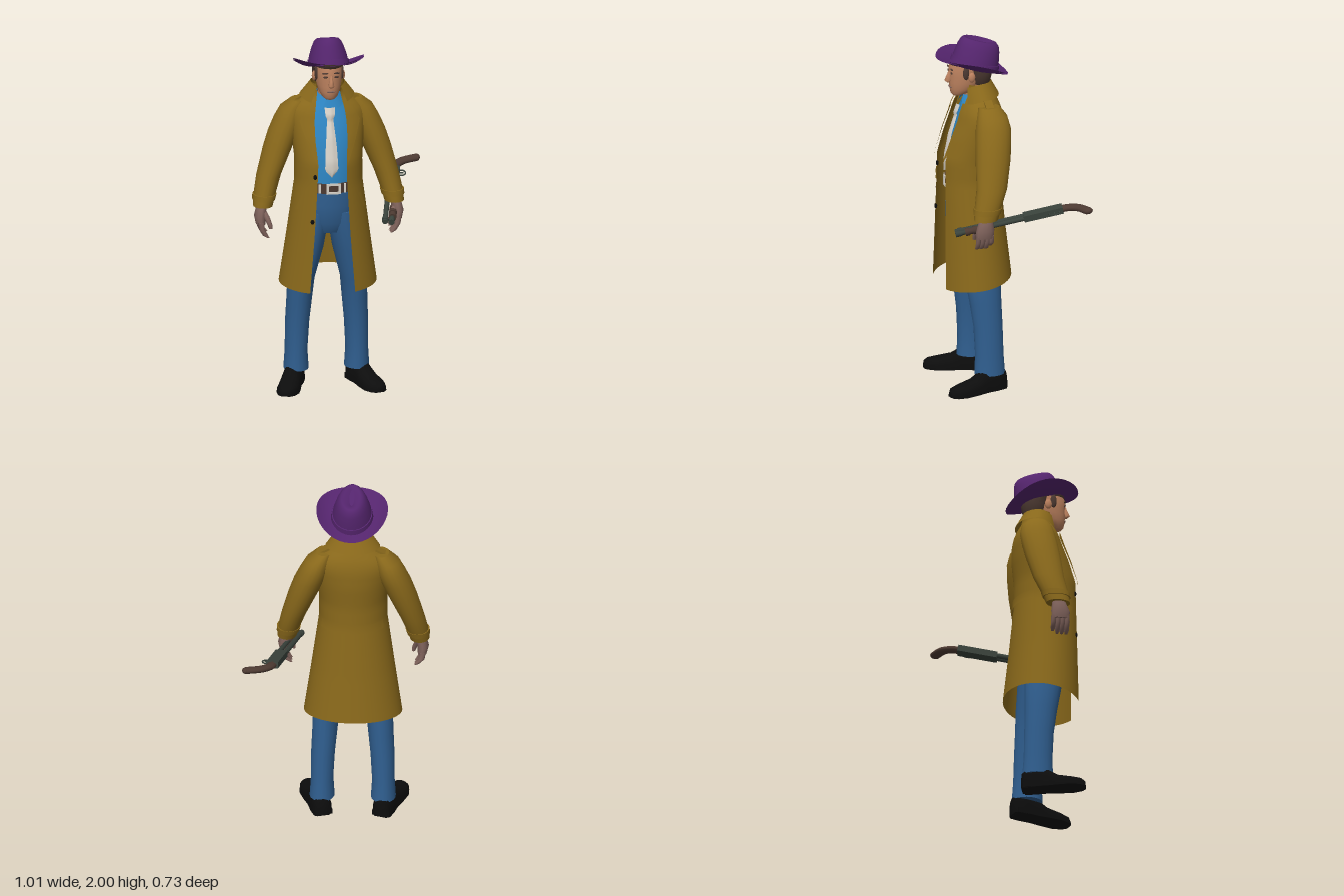
import * as THREE from 'three';

const paint = (name, color) => {
  const m = new THREE.MeshStandardMaterial({ color, side: THREE.DoubleSide });
  m.name = name;
  return m;
};

// Smooth surface from fn(u, v) -> [x, y, z]; u may wrap around.
function surf(nu, nv, fn, wrap = false) {
  const pos = [], idx = [], cols = wrap ? nu : nu + 1;
  for (let j = 0; j <= nv; j++)
    for (let i = 0; i < cols; i++) pos.push(...fn(i / nu, j / nv));
  for (let j = 0; j < nv; j++)
    for (let i = 0; i < nu; i++) {
      const a = j * cols + i, b = j * cols + (i + 1) % cols;
      idx.push(a, b, b + cols, a, b + cols, a + cols);
    }
  const g = new THREE.BufferGeometry();
  g.setAttribute('position', new THREE.Float32BufferAttribute(pos, 3));
  g.setIndex(idx);
  g.computeVertexNormals();
  return g;
}

// Closed body through horizontal ellipses [x, y, z, rx, rz], listed from the bottom up.
function loft(rings, n = 16, s = 1) {
  const a = rings[0], b = rings[rings.length - 1];
  const tip = r => [r[0], r[1], r[2], 0, 0];
  const all = [tip(a), a, ...rings, b, tip(b)], m = all.length - 1;
  return surf(n, m, (u, v) => {
    const [x, y, z, rx, rz] = all[Math.round(v * m)], t = u * Math.PI * 2;
    return [s * x + rx * Math.sin(t), y, z + rz * Math.cos(t)];
  }, true);
}

// Linear interpolation in a table whose first column is y.
function at(table, y) {
  let i = 0;
  while (i < table.length - 2 && y > table[i + 1][0]) i++;
  const p = table[i], q = table[i + 1];
  const t = THREE.MathUtils.clamp((y - p[0]) / (q[0] - p[0]), 0, 1);
  return p.map((c, k) => c + (q[k] - c) * t);
}

// Coat sections: y, half width, back z, front z, half opening
const COAT = [
  [0.60, 0.27, -0.06, 0.36, 0.125], [0.9, 0.228, -0.03, 0.352, 0.1], [1.2, 0.187, 0, 0.345, 0.082],
  [1.32, 0.187, 0, 0.342, 0.08], [1.45, 0.2, -0.012, 0.3, 0.09], [1.54, 0.21, -0.012, 0.262, 0.09],
  [1.59, 0.205, -0.005, 0.245, 0.085], [1.635, 0.16, 0.012, 0.228, 0.075],
  [1.68, 0.1, 0.038, 0.21, 0.065], [1.74, 0.09, 0.05, 0.215, 0.068]];
const coatEdge = y => { const c = at(COAT, y); return Math.asin(c[4] / c[1]); };
function coatPoint(y, a, push = 0) {
  const [, w, back, front] = at(COAT, y);
  return [(w + push) * Math.sin(a), y, (back + front) / 2 + ((front - back) / 2 + push) * Math.cos(a)];
}

export function createModel() {
  const model = new THREE.Group(), figure = new THREE.Group();
  figure.name = 'figure';
  figure.position.x = -0.08;
  model.add(figure);
  const M = {
    coat: paint('ochre coat', 0x8a691b), hat: paint('purple felt', 0x55256e), shirt: paint('blue shirt', 0x2e86c4),
    denim: paint('denim', 0x305f90), cream: paint('cream', 0xd8d2c8), black: paint('black leather', 0x0d0d0d),
    skin: paint('face skin', 0xbd825f), hand: paint('hand skin', 0x80635c),
    brown: paint('dark brown', 0x4d3a32), metal: paint('gunmetal', 0x3a433c) };
  const add = (name, geo, mat, parent = figure, x = 0, y = 0, z = 0) => {
    const m = new THREE.Mesh(geo, mat);
    m.name = name;
    m.position.set(x, y, z);
    parent.add(m);
    return m;
  };
  const ball = (rx, ry, rz) => new THREE.SphereGeometry(1, 12, 8).scale(rx, ry, rz);

  // Shirt, trousers and belt
  const shirt = [[0, 1.15, 0.165, 0.155, 0.125], [0, 1.32, 0.16, 0.16, 0.13], [0, 1.45, 0.14, 0.165, 0.125],
    [0, 1.55, 0.125, 0.155, 0.107], [0, 1.61, 0.125, 0.11, 0.085], [0, 1.66, 0.13, 0.06, 0.065]];
  add('shirt', loft(shirt, 24), M.shirt);
  add('trouserHips', loft([[0, 0.9, 0.16, 0.11, 0.09], [0, 0.96, 0.165, 0.15, 0.115], [0, 1.06, 0.165, 0.158, 0.128],
    [0, 1.17, 0.165, 0.155, 0.127]], 24), M.denim);
  add('belt', loft([[0, 1.14, 0.165, 0.16, 0.134], [0, 1.195, 0.165, 0.16, 0.134]], 24), M.brown);
  const buckle = new THREE.Shape([[-0.04, -0.03], [0.04, -0.03], [0.04, 0.03], [-0.04, 0.03]].map(p => new THREE.Vector2(...p)));
  buckle.holes.push(new THREE.Path([[-0.027, -0.018], [-0.027, 0.018], [0.027, 0.018], [0.027, -0.018]].map(p => new THREE.Vector2(...p))));
  add('buckle', new THREE.ExtrudeGeometry(buckle, { depth: 0.008, bevelEnabled: false }), M.cream, figure, 0.01, 1.168, 0.298);
  for (const x of [-0.065, 0.075])
    add('beltStud', new THREE.BoxGeometry(0.012, 0.05, 0.008), M.cream, figure, x, 1.168, 0.289);

  // Tie hanging along the shirt front
  const shirtFront = y => { const r = at(shirt.map(q => [q[1], q[2] + q[4]]), y); return r[1]; };
  const tie = [[1.235, 0.002], [1.275, 0.037], [1.4, 0.031], [1.555, 0.017], [1.57, 0.026], [1.615, 0.029]];
  add('tie', surf(4, 24, (u, v) => {
    const y = 1.235 + 0.38 * v, k = u * 2 - 1;
    return [k * at(tie, y)[1], y, shirtFront(y) + 0.022 - 0.012 * Math.abs(k) + (y > 1.56 ? 0.01 : 0)];
  }), M.cream);

  // Collars: open shells from an upper ring to a lower one [y, z, rx, rz, opening, front dip]
  const collar = (name, mat, top, low) => add(name, surf(28, 4, (u, v) => {
    const r = low.map((c, k) => c + (top[k] - c) * v), a = r[4] + u * 2 * (Math.PI - r[4]);
    return [r[2] * Math.sin(a), r[0] - r[5] * Math.max(0, Math.cos(a)), r[1] + r[3] * Math.cos(a)];
  }), mat);
  collar('shirtCollar', M.shirt, [1.69, 0.14, 0.058, 0.067, 0.25, 0.02], [1.65, 0.135, 0.092, 0.102, 0.5, 0.05]);
  collar('coatCollar', M.coat, [1.745, 0.135, 0.093, 0.088, 0.8, 0.03], [1.668, 0.12, 0.15, 0.115, 0.72, 0.04]);

  // Coat shell, open at the front, hem lower in front
  add('coatBody', surf(40, 40, (u, v) => {
    const y = 0.6 + 1.14 * v, e = coatEdge(y), a = e + u * 2 * (Math.PI - e), p = coatPoint(y, a);
    p[1] += (0.007 - 0.027 * Math.cos(a)) * Math.max(0, 1 - v * 4);
    return p;
  }), M.coat);
  add('backStrap', surf(16, 2, (u, v) => coatPoint(1.17 + 0.05 * v, 2.1 + u * 2.08, 0.008)), M.coat);
  for (const y of [1.245, 0.99]) {
    const p = coatPoint(y, -coatEdge(y) - 0.08);
    add('coatButton', ball(0.011, 0.014, 0.008), M.black, figure, ...p);
  }

  for (const s of [1, -1]) {
    const side = new THREE.Group();
    side.name = s > 0 ? 'leftSide' : 'rightSide';
    figure.add(side);

    // Lapel, pocket and shoulder strap
    add('lapel', surf(4, 14, (u, v) => {
      const y = 1.3 + 0.34 * v, wide = v < 0.75 ? v * 0.62 : (1 - v) * 0.8 + 0.2;
      return coatPoint(y, s * (coatEdge(y) - 0.03 + u * wide), 0.013);
    }), M.coat, side);
    add('pocketWelt', surf(3, 3, (u, v) => coatPoint(1.05 + 0.09 * v, s * (1.0 - 0.2 * v + 0.13 * u), 0.008)), M.coat, side);
    add('shoulderStrap', new THREE.BoxGeometry(0.1, 0.012, 0.045), M.coat, side, s * 0.165, 1.637, 0.1).rotation.z = -s * 0.5;

    // Sleeve with cuff strap
    add('sleeve', loft([[0.364, 1.055, 0.18, 0.054, 0.067], [0.352, 1.12, 0.165, 0.06, 0.075], [0.325, 1.22, 0.135, 0.067, 0.086],
      [0.272, 1.37, 0.112, 0.08, 0.098], [0.238, 1.46, 0.1, 0.084, 0.1], [0.21, 1.53, 0.092, 0.08, 0.098],
      [0.188, 1.59, 0.092, 0.068, 0.085], [0.155, 1.635, 0.1, 0.045, 0.06]], 18, s), M.coat, side);
    add('cuffStrap', loft([[0.358, 1.09, 0.172, 0.063, 0.077], [0.353, 1.12, 0.166, 0.066, 0.08]], 18, s), M.coat, side);

    // Hand
    add('palm', loft([[0.378, 0.955, 0.19, 0.026, 0.05], [0.382, 1.0, 0.19, 0.032, 0.052], [0.374, 1.04, 0.185, 0.03, 0.042],
      [0.366, 1.08, 0.18, 0.03, 0.035]], 12, s), M.hand, side);
    for (let i = 0; i < 4; i++) {
      const z = 0.152 + i * 0.025, drop = i === 0 ? 0.015 : 0;
      add('finger', loft([[0.342, 0.882 + drop, z, 0.008, 0.008], [0.356, 0.894 + drop, z, 0.014, 0.013],
        [0.376, 0.93, z, 0.016, 0.014], [0.38, 0.97, z, 0.018, 0.014]], 8, s), M.hand, side);
    }
    add('thumb', loft([[0.328, 0.935, 0.235, 0.009, 0.01], [0.334, 0.96, 0.235, 0.014, 0.015],
      [0.35, 1.0, 0.222, 0.017, 0.018], [0.365, 1.03, 0.2, 0.016, 0.02]], 8, s), M.hand, side);

    // Trouser leg
    add('trouserLeg', loft([[0.168, 0.09, 0.1, 0.069, 0.086], [0.168, 0.2, 0.102, 0.062, 0.08], [0.163, 0.36, 0.108, 0.066, 0.082],
      [0.153, 0.5, 0.12, 0.07, 0.09], [0.145, 0.62, 0.132, 0.074, 0.1], [0.11, 0.8, 0.15, 0.085, 0.112],
      [0.082, 0.95, 0.163, 0.082, 0.115], [0.075, 1.02, 0.165, 0.075, 0.115]], 18, s), M.denim, side);

    // Shoe sections from toe to heel: z, half width, height
    const shoe = [[0.352, 0, 0.015], [0.35, 0.025, 0.035], [0.33, 0.047, 0.052], [0.28, 0.063, 0.062], [0.2, 0.06, 0.08],
      [0.14, 0.053, 0.12], [0.07, 0.056, 0.135], [0.02, 0.052, 0.125], [0, 0.035, 0.1], [0, 0, 0.02]];
    add('shoe', surf(20, shoe.length - 1, (u, v) => {
      const [z, w, h] = shoe[Math.round(v * (shoe.length - 1))], t = u * Math.PI * 2;
      return [w * Math.sin(t), 0.002 + h * Math.max(0, Math.cos(t)) ** 0.65, z];
    }, true), M.black, side, s * 0.155, 0, 0.015).rotation.y = s * 0.31;
    add('shoeHeel', new THREE.BoxGeometry(0.1, 0.03, 0.07), M.black, side, s * 0.167, 0.015, 0.06).rotation.y = s * 0.31;

    // Ear, eye and brow
    add('ear', ball(0.012, 0.028, 0.02), M.skin, side, s * 0.08, 1.785, 0.175);
    add('sideburn', ball(0.01, 0.04, 0.018), M.brown, side, s * 0.071, 1.81, 0.205);
    add('eye', ball(0.014, 0.006, 0.004), M.brown, side, s * 0.03, 1.803, 0.276);
    add('brow', ball(0.02, 0.005, 0.005), M.brown, side, s * 0.031, 1.825, 0.276);
  }

  // Head
  add('neck', loft([[0, 1.6, 0.13, 0.055, 0.058], [0, 1.75, 0.145, 0.055, 0.06]]), M.skin);
  add('head', loft([[0, 1.668, 0.235, 0.025, 0.025], [0, 1.682, 0.22, 0.043, 0.052], [0, 1.71, 0.2, 0.058, 0.078],
    [0, 1.745, 0.187, 0.068, 0.094], [0, 1.785, 0.18, 0.073, 0.1], [0, 1.83, 0.175, 0.075, 0.108], [0, 1.88, 0.165, 0.07, 0.1]], 20), M.skin);
  add('nose', loft([[0, 1.745, 0.287, 0.012, 0.008], [0, 1.757, 0.288, 0.016, 0.021], [0, 1.785, 0.28, 0.01, 0.016],
    [0, 1.812, 0.276, 0.007, 0.008]], 10), M.skin);
  add('mouth', ball(0.024, 0.005, 0.006), M.hand, figure, 0, 1.718, 0.277);
  add('hair', loft([[0, 1.715, 0.11, 0.045, 0.045], [0, 1.74, 0.118, 0.068, 0.07], [0, 1.79, 0.12, 0.081, 0.082],
    [0, 1.835, 0.128, 0.084, 0.09], [0, 1.85, 0.162, 0.085, 0.118], [0, 1.89, 0.155, 0.08, 0.11]], 20), M.brown);

  // Hat, tipped back
  const hat = new THREE.Group();
  hat.name = 'hat';
  hat.position.set(0.005, 1.838, 0.153);
  hat.rotation.x = -0.29;
  figure.add(hat);
  const brim = low => (u, v) => {
    const a = u * Math.PI * 2, r = 0.207 - 0.115 * v, lift = 0.045 * (1 - v) ** 2 * Math.sin(a) ** 2;
    return [r * 0.95 * Math.sin(a), lift - low, r * Math.cos(a)];
  };
  add('brimTop', surf(40, 6, brim(0), true), M.hat, hat);
  add('brimUnder', surf(40, 6, brim(0.008), true), M.hat, hat);
  add('crown', loft([[0, -0.005, -0.015, 0.112, 0.136], [0, 0.05, -0.013, 0.104, 0.13], [0, 0.1, -0.01, 0.088, 0.122],
    [0, 0.13, -0.008, 0.074, 0.112], [0, 0.145, -0.005, 0.058, 0.098], [0, 0.147, -0.003, 0.045, 0.085],
    [0, 0.132, 0, 0.014, 0.06]], 28), M.hat, hat);
  add('hatBand', loft([[0, 0, -0.015, 0.117, 0.141], [0, 0.03, -0.014, 0.112, 0.137]], 28), M.hat, hat);

  // Long gun lying on its side: local z to the muzzle, local y away from the trigger
  const gun = new THREE.Group();
  gun.name = 'longGun';
  const back = new THREE.Vector3(0.427, 1.1, -0.24), Z = new THREE.Vector3(0.307, 0.975, 0.34).sub(back).normalize();
  const Y = new THREE.Vector3(-1, 0, 0).addScaledVector(Z, Z.x).normalize(), X = Y.clone().cross(Z);
  gun.quaternion.setFromRotationMatrix(new THREE.Matrix4().makeBasis(X, Y, Z));
  gun.position.copy(back);
  figure.add(gun);
  const rod = (name, r, y, z0, z1, mat) =>
    add(name, new THREE.CylinderGeometry(r, r, z1 - z0, 12).rotateX(Math.PI / 2), mat, gun, 0, y, (z0 + z1) / 2);
  add('receiver', new THREE.BoxGeometry(0.036, 0.066, 0.22), M.metal, gun, 0, 0, 0.11);
  rod('barrel', 0.014, 0.018, 0.2, 0.605, M.metal);
  rod('magazineTube', 0.013, -0.018, 0.2, 0.6, M.metal);
  rod('muzzleRing', 0.018, 0.018, 0.565, 0.59, M.metal);
  rod('tubeCap', 0.017, -0.018, 0.57, 0.605, M.metal);
  for (let i = 0; i < 5; i++) rod('foregrip', i % 2 ? 0.018 : 0.022, -0.02, 0.44 + i * 0.022, 0.462 + i * 0.022, M.brown);
  add('triggerGuard', new THREE.TorusGeometry(0.024, 0.004, 6, 16).rotateY(Math.PI / 2).scale(1, 1, 1.2), M.metal, gun, 0, -0.042, 0.05);
  add('trigger', new THREE.BoxGeometry(0.006, 0.025, 0.006), M.metal, gun, 0, -0.042, 0.05);
  const grip = new THREE.CatmullRomCurve3([[0, 0.02], [-0.005, -0.03], [-0.04, -0.085], [-0.115, -0.132]]
    .map(p => new THREE.Vector3(0, ...p)));
  add('stock', new THREE.TubeGeometry(grip, 16, 0.027, 12).scale(0.68, 1, 1), M.brown, gun);
  add('stockEnd', ball(0.018, 0.02, 0.026), M.brown, gun, 0, -0.115, -0.132);

  return model;
}
